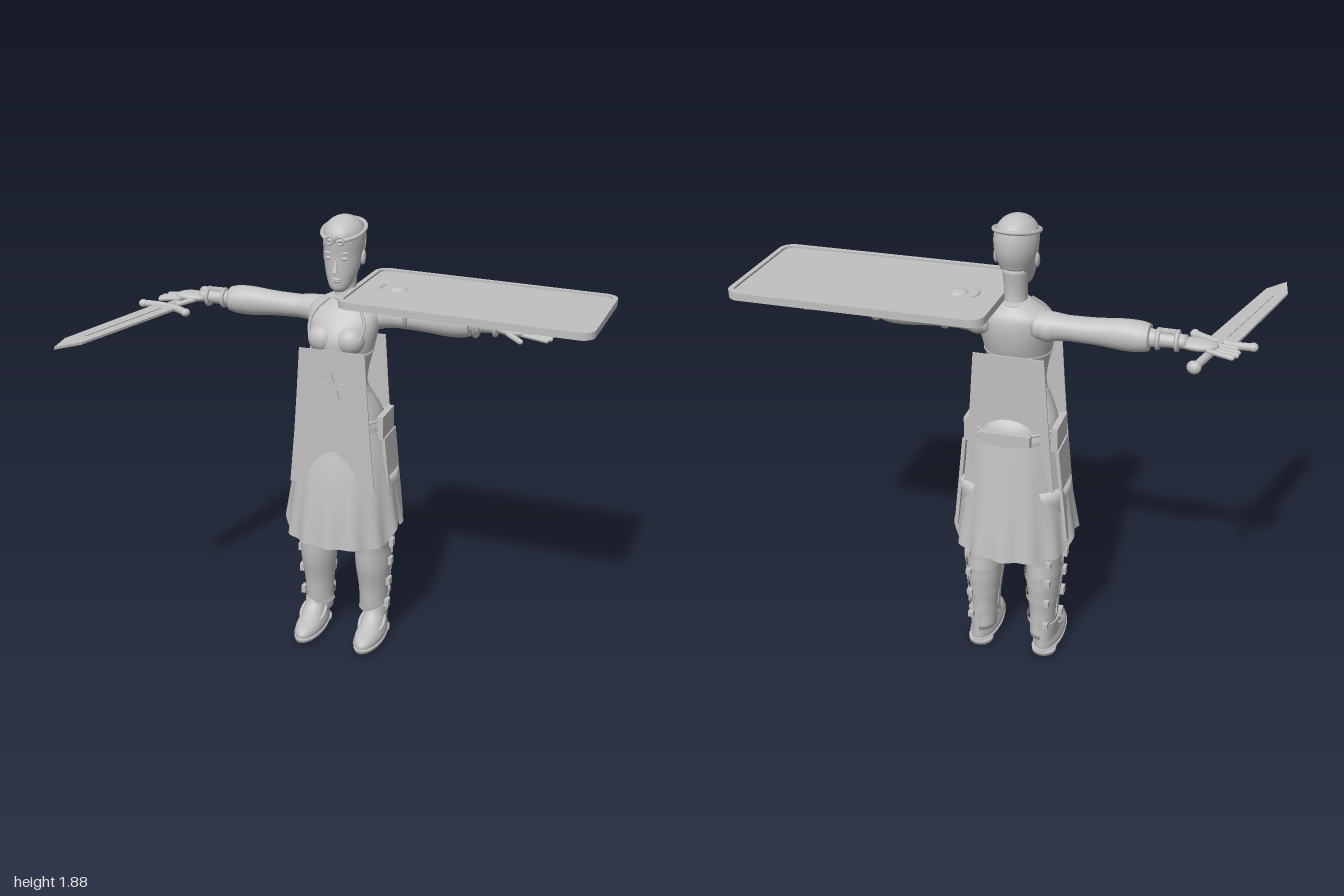
import * as THREE from 'three';

const grey = new THREE.MeshStandardMaterial({ color: 0xc0c0c0, side: THREE.DoubleSide });
grey.name = 'plain grey';
const TAU = Math.PI * 2;

function add(parent, name, geo, x = 0, y = 0, z = 0, rx = 0, ry = 0, rz = 0) {
  const m = new THREE.Mesh(geo, grey);
  m.name = name;
  m.position.set(x, y, z);
  m.rotation.set(rx, ry, rz);
  parent.add(m);
  return m;
}
const box = (w, h, d) => new THREE.BoxGeometry(w, h, d);
const ball = (a, b, c) => new THREE.SphereGeometry(1, 24, 16).scale(a, b, c);
const cyl = (r1, r2, h, n = 16) => new THREE.CylinderGeometry(r1, r2, h, n);
const ring = (rx, rz, t) => new THREE.TorusGeometry(1, t / rx, 8, 40).rotateX(Math.PI / 2).scale(rx, rx, rz);
const group = (parent, name) => {
  const g = new THREE.Group();
  g.name = name;
  parent.add(g);
  return g;
};

// Smooth skin over oval sections [height, half width, front z, back z], lowest first
function loft(rows, { n = 36, from = 0, to = TAU, steps = 4, caps = true, warp } = {}) {
  const fine = [];
  for (let i = 0; i < rows.length - 1; i++) {
    const p = [rows[Math.max(i - 1, 0)], rows[i], rows[i + 1], rows[Math.min(i + 2, rows.length - 1)]];
    for (let s = 0; s < steps; s++) {
      const t = s / steps;
      fine.push(p[1].map((b, k) => {
        const a = p[0][k], c = p[2][k], d = p[3][k];
        return b + 0.5 * t * (c - a + t * (2 * a - 5 * b + 4 * c - d + t * (3 * (b - c) + d - a)));
      }));
    }
  }
  fine.push(rows[rows.length - 1]);
  const closed = to - from > TAU - 0.001, cols = closed ? n : n + 1;
  const pos = [], idx = [];
  for (const [y, w, f, b] of fine)
    for (let j = 0; j < cols; j++) {
      const a = from + (to - from) * j / n;
      const v = [w * Math.sin(a), y, (f + b) / 2 + (f - b) / 2 * Math.cos(a)];
      pos.push(...(warp ? warp(v, a) : v));
    }
  for (let i = 0; i < fine.length - 1; i++)
    for (let j = 0; j < n; j++) {
      const k = (j + 1) % cols, a = i * cols, c = a + cols;
      idx.push(a + j, a + k, c + j, a + k, c + k, c + j);
    }
  if (caps && closed) [0, fine.length - 1].forEach((i, top) => {
    const [y, , f, b] = fine[i], c = pos.length / 3;
    pos.push(0, y, (f + b) / 2);
    for (let j = 0; j < n; j++) {
      const u = i * cols + j, v = i * cols + (j + 1) % n;
      idx.push(c, top ? u : v, top ? v : u);
    }
  });
  const g = new THREE.BufferGeometry();
  g.setAttribute('position', new THREE.Float32BufferAttribute(pos, 3));
  g.setIndex(idx);
  g.computeVertexNormals();
  return g;
}

function extrude(points, depth) {
  const s = Array.isArray(points) ? new THREE.Shape(points.map(p => new THREE.Vector2(...p))) : points;
  return new THREE.ExtrudeGeometry(s, { depth, bevelEnabled: false, curveSegments: 8 });
}

function roundRect(w, h, r, Type = THREE.Shape) {
  const s = new Type();
  [[1, 1, 0], [-1, 1, 1], [-1, -1, 2], [1, -1, 3]].forEach(([x, y, q]) =>
    s.absarc(x * (w / 2 - r), y * (h / 2 - r), r, q * Math.PI / 2, (q + 1) * Math.PI / 2, false));
  s.closePath();
  return s;
}

function buildHead(body) {
  const g = group(body, 'headGroup');
  add(g, 'head', loft([[1.583, 0.018, -0.1, -0.13], [1.6, 0.04, -0.085, -0.17], [1.64, 0.058, -0.081, -0.21],
    [1.68, 0.07, -0.08, -0.25], [1.73, 0.077, -0.08, -0.274], [1.78, 0.081, -0.076, -0.281], [1.82, 0.078, -0.081, -0.277],
    [1.85, 0.06, -0.105, -0.257], [1.868, 0.034, -0.14, -0.222], [1.875, 0.008, -0.17, -0.19]]));
  add(g, 'neck', loft([[1.49, 0.07, -0.12, -0.28], [1.54, 0.047, -0.14, -0.252], [1.6, 0.044, -0.147, -0.245], [1.68, 0.05, -0.15, -0.255]]));
  // Cropped hair, open at the face
  add(g, 'hair', loft([[1.69, 0.066, -0.1, -0.264], [1.74, 0.081, -0.08, -0.283], [1.79, 0.084, -0.08, -0.287], [1.83, 0.078, -0.08, -0.28]],
    { from: 1.75, to: TAU - 1.75 }));
  add(g, 'nose', new THREE.ConeGeometry(0.013, 0.055, 12), 0, 1.693, -0.077, -0.2);
  add(g, 'noseTip', ball(0.012, 0.009, 0.012), 0, 1.672, -0.073);
  add(g, 'upperLip', ball(0.022, 0.005, 0.008), 0, 1.641, -0.08);
  add(g, 'lowerLip', ball(0.018, 0.006, 0.008), 0, 1.632, -0.081);
  for (const s of [-1, 1]) {
    add(g, 'eye', ball(0.014, 0.007, 0.008), s * 0.032, 1.722, -0.09);
    add(g, 'eyebrow', ball(0.019, 0.004, 0.007), s * 0.034, 1.744, -0.087, 0, s * 0.3, s * 0.15);
    add(g, 'ear', ball(0.009, 0.03, 0.018), s * 0.079, 1.71, -0.185, -0.2);
    add(g, 'circletCurl', new THREE.TorusGeometry(0.015, 0.005, 8, 20), s * 0.022, 1.797, -0.068);
  }
  add(g, 'circlet', ring(0.084, 0.108, 0.008), 0, 1.818, -0.178, 0.2);
  add(g, 'circletGem', ball(0.009, 0.012, 0.007), 0, 1.807, -0.066);
}

function buildTorso(body) {
  const g = group(body, 'torsoGroup');
  add(g, 'torso', loft([[1.0, 0.17, -0.045, -0.335], [1.06, 0.163, -0.046, -0.328], [1.12, 0.14, -0.057, -0.285], [1.19, 0.108, -0.058, -0.247],
    [1.26, 0.112, -0.05, -0.256], [1.33, 0.128, -0.042, -0.275], [1.39, 0.14, -0.04, -0.292], [1.45, 0.15, -0.068, -0.3],
    [1.5, 0.148, -0.11, -0.295], [1.53, 0.1, -0.13, -0.275], [1.555, 0.05, -0.14, -0.25]]));
  for (const s of [-1, 1]) {
    add(g, 'bust', ball(0.06, 0.058, 0.055), s * 0.058, 1.392, -0.087);
    const strap = new THREE.CatmullRomCurve3([[0.105, 1.4, -0.06], [0.115, 1.45, -0.088], [0.095, 1.5, -0.118], [0.05, 1.545, -0.15]]
      .map(([x, y, z]) => new THREE.Vector3(s * x, y, z)));
    add(g, 'necklineEdge', new THREE.TubeGeometry(strap, 16, 0.006, 6));
  }
  add(g, 'bodiceHem', ring(0.13, 0.119, 0.004), 0, 1.335, -0.158, 0.06);
  add(g, 'waistHem', ring(0.114, 0.1, 0.005), 0, 1.165, -0.155, -0.1);
  add(g, 'collar', ring(0.05, 0.058, 0.007), 0, 1.545, -0.197);
}

function buildSkirt(body) {
  const g = group(body, 'skirtGroup');
  // Hem folds deepen downward and the hem rises at the sides
  const folds = ([x, y, z], a) => {
    const t = (1.05 - y) / 0.54, k = 1 + 0.03 * t * t * (Math.cos(a * 14) - 0.4);
    const side = Math.exp(-Math.pow((Math.abs(Math.sin(a)) - 1) / 0.06, 2));
    return [x * k, y + 0.06 * side * t * t, -0.185 + (z + 0.185) * k];
  };
  add(g, 'skirt', loft([[0.51, 0.252, 0.038, -0.41], [0.65, 0.233, 0.022, -0.39], [0.8, 0.212, 0.0, -0.37], [0.95, 0.19, -0.033, -0.35], [1.05, 0.168, -0.044, -0.335]],
    { n: 112, caps: false, warp: folds }));
  add(g, 'belt', loft([[1.0, 0.183, -0.036, -0.35], [1.02, 0.182, -0.036, -0.35], [1.045, 0.174, -0.038, -0.343]], { caps: false }));
  add(g, 'beltRim', ring(0.176, 0.154, 0.006), 0, 1.045, -0.19);
  add(g, 'backPouch', box(0.2, 0.045, 0.025), 0, 1.035, -0.345);
  for (const s of [-1, 1]) {
    add(g, 'sidePanel', box(0.014, 0.4, 0.15), s * 0.207, 0.77, -0.205, 0, 0, s * 0.1);
    add(g, 'hipPouch', box(0.025, 0.1, 0.15), s * 0.175, 1.015, -0.2);
  }
  // Flat cloth panels, front and back
  const cloth = [[-0.138, 1.36], [-0.152, 1.15], [-0.163, 1.0], [-0.184, 0.77], [0.184, 0.77], [0.163, 1.0], [0.152, 1.15], [0.138, 1.36]];
  add(g, 'frontTabard', extrude(cloth, 0.006), 0, 0, -0.034);
  add(g, 'backTabard', extrude(cloth, 0.006), 0, 0, -0.304);
  const star = Array.from({ length: 10 }, (_, i) => {
    const r = i % 2 ? 0.025 : 0.06, a = Math.PI / 2 + i * Math.PI / 5;
    return [r * Math.cos(a), r * Math.sin(a)];
  });
  add(g, 'star', extrude(star, 0.008), 0, 1.208, -0.028);
}

function buildLeg(side) {
  const g = group(side, 'legGroup');
  g.position.x = 0.125;
  add(g, 'leg', loft([[0.08, 0.05, -0.17, -0.3], [0.2, 0.053, -0.16, -0.295], [0.34, 0.068, -0.13, -0.31], [0.44, 0.068, -0.12, -0.305],
    [0.52, 0.075, -0.11, -0.31], [0.8, 0.1, -0.08, -0.33]]));
  add(g, 'greave', loft([[0.13, 0.066, -0.155, -0.29], [0.16, 0.06, -0.15, -0.285], [0.25, 0.065, -0.14, -0.295], [0.35, 0.076, -0.117, -0.305], [0.43, 0.076, -0.11, -0.3]],
    { from: -1.75, to: 1.75 }));
  add(g, 'kneeGuard', loft([[0.43, 0.07, -0.14, -0.3], [0.5, 0.084, -0.1, -0.3], [0.58, 0.09, -0.09, -0.31]], { n: 6, from: -1.5, to: 1.5, steps: 1 }));
  [0.17, 0.28, 0.38, 0.47].forEach((y, i) => {
    const w = 0.06 + i * 0.006;
    add(g, 'strap', loft([[y - 0.014, w, -0.16, -0.312 - i * 0.004], [y + 0.014, w + 0.002, -0.16, -0.314 - i * 0.004]], { from: 1.5, to: TAU - 1.5, steps: 1 }));
    add(g, 'buckle', box(0.018, 0.034, 0.032), w + 0.008, y, -0.2);
    add(g, 'strapEnd', box(0.022, 0.024, 0.02), w * 0.55, y, -0.318);
  });
  // Shoe with a thick sole and heel
  const f = group(g, 'shoe');
  f.position.x = 0.012;
  add(f, 'shoeUpper', loft([[0.018, 0.058, -0.002, -0.298], [0.045, 0.06, 0.0, -0.3], [0.066, 0.054, -0.025, -0.3],
    [0.085, 0.05, -0.085, -0.3], [0.12, 0.05, -0.14, -0.3], [0.16, 0.054, -0.16, -0.302]]));
  add(f, 'sole', loft([[0.012, 0.06, 0.005, -0.3], [0.03, 0.063, 0.007, -0.304]], { steps: 1 }));
  add(f, 'heel', loft([[0, 0.05, -0.2, -0.302], [0.02, 0.052, -0.195, -0.302]], { steps: 1 }));
  add(f, 'shoeStrap', ring(0.053, 0.075, 0.008), 0, 0.085, -0.16, 0.5);
}

function buildArm(side) {
  const g = group(side, 'armGroup');
  g.position.set(0, 1.47, -0.225);
  const along = (rows, o) => loft(rows.map(([d, h, z]) => [d, h, z, -z]), o).rotateZ(-Math.PI / 2);
  add(g, 'arm', along([[0.08, 0.055, 0.06], [0.15, 0.054, 0.057], [0.22, 0.047, 0.048], [0.32, 0.044, 0.045], [0.45, 0.042, 0.042], [0.56, 0.03, 0.032], [0.65, 0.025, 0.031]]));
  add(g, 'sleeve', along([[0.17, 0.047, 0.05], [0.29, 0.05, 0.05], [0.35, 0.054, 0.05], [0.42, 0.06, 0.055], [0.48, 0.058, 0.058], [0.515, 0.05, 0.052]]));
  add(g, 'shoulderCap', ball(0.06, 0.056, 0.062), 0.135, -0.004, 0);
  for (const d of [0.545, 0.615]) add(g, 'bracelet', new THREE.TorusGeometry(0.034, 0.009, 8, 24), d, 0, 0, 0, Math.PI / 2);
  add(g, 'braceletPlate', box(0.055, 0.012, 0.03), 0.58, 0.032, 0);
  add(g, 'palm', ball(0.075, 0.022, 0.045), 0.69, -0.006, 0.004);
  for (let i = 0; i < 4; i++)
    add(g, 'finger', new THREE.CapsuleGeometry(0.0095, [0.1, 0.12, 0.115, 0.09][i], 4, 10), 0.775, -0.018, 0.036 - i * 0.024, 0, [-0.08, 0, 0.06, 0.14][i], 1.45);
  add(g, 'thumb', new THREE.CapsuleGeometry(0.011, 0.07, 4, 10), 0.7, -0.02, 0.055, 0, -0.55, 1.35);
}

function buildShield(root) {
  const g = group(root, 'shield');
  g.position.set(0.49, 1.555, -0.227);
  g.rotation.set(0, -0.027, -0.014);
  const lay = geo => geo.rotateX(-Math.PI / 2);
  const rim = roundRect(1.01, 0.525, 0.055);
  rim.holes.push(roundRect(0.97, 0.485, 0.04, THREE.Path));
  add(g, 'shieldPlate', lay(extrude(roundRect(1.0, 0.515, 0.05), 0.014)));
  add(g, 'shieldRim', lay(extrude(rim, 0.03)), 0, -0.008, 0);
  add(g, 'shieldBoss', ball(0.036, 0.012, 0.036), -0.335, 0.013, -0.01);
  add(g, 'shieldSlot', new THREE.TorusGeometry(0.07, 0.006, 6, 16, 1.1).rotateZ(Math.PI - 0.55).rotateX(-Math.PI / 2), -0.34, 0.014, -0.01);
  // Arm straps beneath
  add(g, 'shieldStrap', new THREE.TorusGeometry(0.066, 0.009, 8, 28), -0.28, -0.065, 0, 0, Math.PI / 2, -0.6);
  add(g, 'shieldGrip', new THREE.TorusGeometry(0.062, 0.008, 8, 28), 0.0, -0.07, 0, 0, Math.PI / 2, 0);
  add(g, 'gripPlate', box(0.12, 0.012, 0.06), 0, -0.03, 0);
}

function buildSword(root) {
  // Local +z runs from guard to tip
  const g = group(root, 'sword');
  g.position.set(-0.815, 1.437, -0.117);
  g.rotation.y = -0.26;
  const blade = extrude([[-0.053, 0], [0.053, 0], [0.045, 0.54], [0, 0.645], [-0.045, 0.54]], 0.01).rotateX(Math.PI / 2);
  add(g, 'blade', blade, 0, 0.005, 0);
  for (const s of [-1, 1]) add(g, 'bladeRidge', box(0.016, 0.005, 0.44), 0, s * 0.006, 0.26);
  const curve = new THREE.QuadraticBezierCurve3(new THREE.Vector3(-0.115, 0, 0.012), new THREE.Vector3(0, 0, -0.035), new THREE.Vector3(0.115, 0, 0.012));
  add(g, 'guard', new THREE.TubeGeometry(curve, 20, 0.015, 10));
  for (const s of [-1, 1]) add(g, 'guardEnd', ball(0.019, 0.017, 0.019), s * 0.115, 0, 0.012);
  add(g, 'grip', cyl(0.016, 0.016, 0.24), 0, 0, -0.13, Math.PI / 2);
  add(g, 'pommel', ball(0.027, 0.025, 0.022), 0, 0.003, -0.255);
}

export function createModel() {
  const root = new THREE.Group();
  root.name = 'swordFighter';
  const body = group(root, 'body');
  body.position.x = -0.05;
  buildHead(body);
  buildTorso(body);
  buildSkirt(body);
  for (const s of [1, -1]) {
    const half = group(body, s > 0 ? 'leftLimbs' : 'rightLimbs');
    half.scale.x = s;
    buildLeg(half);
    buildArm(half);
  }
  buildShield(root);
  buildSword(root);
  return root;
}
